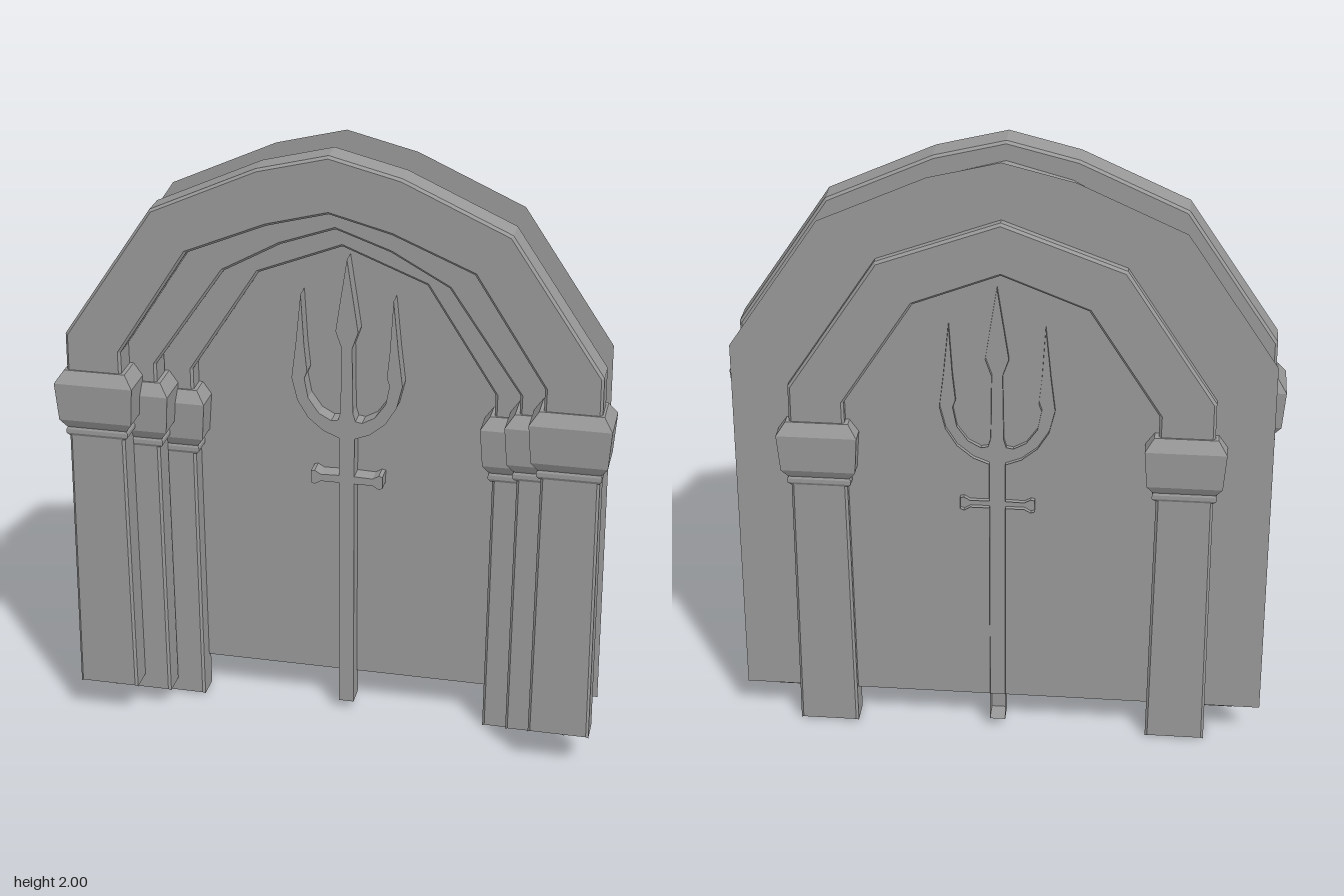
import * as THREE from 'three';

const stone = new THREE.MeshStandardMaterial({ color: 0x999999, side: THREE.DoubleSide });
stone.name = 'grey stone';

// Right half of each arch, from the column foot up to the crown
const ARCHES = [
  { name: 'frontArch', x: 0.745, z: 0.1, foot: 0.12,
    outer: [[0.845, 0.12], [0.835, 1.37], [0.55, 1.795], [0.22, 1.945], [0, 2]],
    inner: [[0.65, 0.12], [0.66, 1.32], [0.44, 1.665], [0.19, 1.77], [0, 1.82]] },
  { name: 'middleArch', x: 0.66, z: 0.005, foot: 0.06,
    outer: [[0.757, 0.06], [0.747, 1.31], [0.47, 1.735], [0.2, 1.885], [0, 1.94]],
    inner: [[0.565, 0.06], [0.575, 1.25], [0.35, 1.58], [0.17, 1.68], [0, 1.74]] },
  { name: 'backArch', x: 0.57, z: -0.095, foot: 0,
    outer: [[0.667, 0], [0.657, 1.25], [0.377, 1.68], [0, 1.82]],
    inner: [[0.475, 0], [0.485, 1.2], [0.265, 1.545], [0, 1.65]] },
];

// Capital rings: height above the foot, half width, half depth
const CAPITAL = [
  [0.905, 0.092, 0.05], [0.915, 0.1, 0.056], [0.928, 0.1, 0.056], [0.935, 0.096, 0.053],
  [0.943, 0.102, 0.058], [0.965, 0.117, 0.07], [1.09, 0.126, 0.077], [1.13, 0.098, 0.055],
];

function mirrored(half) {
  const other = half.slice(0, -1).reverse().map(([x, y]) => [-x, y]);
  return [...half, ...other];
}

function shapeOf(points) {
  return new THREE.Shape(points.map(([x, y]) => new THREE.Vector2(x, y)));
}

// Removes every triangle whose three corners pass the test
function dropFaces(geometry, test) {
  const p = geometry.getAttribute('position');
  const kept = [];
  for (let i = 0; i < p.count; i += 3) {
    const corners = [0, 1, 2].map(k => new THREE.Vector3().fromBufferAttribute(p, i + k));
    if (!corners.every(test)) corners.forEach(c => kept.push(c));
  }
  const result = new THREE.BufferGeometry().setFromPoints(kept);
  result.computeVertexNormals();
  return result;
}

// Stacked rectangles joined by flat faces, closed at the top and bottom
function loftRectangles(levels) {
  const rings = levels.map(([y, w, d]) => [[-w, d], [w, d], [w, -d], [-w, -d]]
    .map(([x, z]) => new THREE.Vector3(x, y, z)));
  const points = [];
  const quad = (a, b, c, d) => points.push(a, b, c, a, c, d);
  for (let i = 0; i < rings.length - 1; i++) {
    for (let k = 0; k < 4; k++) {
      const n = (k + 1) % 4;
      quad(rings[i][k], rings[i][n], rings[i + 1][n], rings[i + 1][k]);
    }
  }
  quad(...rings[rings.length - 1]);
  quad(...[...rings[0]].reverse());
  const geometry = new THREE.BufferGeometry().setFromPoints(points);
  geometry.computeVertexNormals();
  return geometry;
}

function addMesh(parent, name, geometry, x = 0, y = 0, z = 0) {
  const mesh = new THREE.Mesh(geometry, stone);
  mesh.name = name;
  mesh.position.set(x, y, z);
  parent.add(mesh);
  return mesh;
}

// One bevelled arch with its two columns and capitals, open underneath
function makeArch({ name, x, z, foot, outer, inner }) {
  const group = new THREE.Group();
  group.name = name;
  const bevel = 0.008;
  const outline = [...mirrored(outer), ...mirrored(inner).reverse()];
  const body = new THREE.ExtrudeGeometry(shapeOf(outline), {
    depth: 0.1 - 2 * bevel, bevelEnabled: true, bevelSegments: 1,
    bevelSize: bevel, bevelThickness: bevel, bevelOffset: -bevel,
  });
  body.translate(0, 0, -0.05 + bevel);
  addMesh(group, 'archAndColumns', dropFaces(body, v => v.y < foot + bevel + 0.002), 0, 0, z);

  const capital = loftRectangles(CAPITAL);
  addMesh(group, 'leftCapital', capital, x, foot, z);
  addMesh(group, 'rightCapital', capital, -x, foot, z);
  return group;
}

// Trident relief: half outline from the shaft foot to the centre tip
function makeTrident() {
  const half = [
    [0.025, 0.03], [0.025, 0.842], [0.085, 0.842], [0.105, 0.83], [0.117, 0.835],
    [0.117, 0.875], [0.105, 0.878], [0.085, 0.866], [0.025, 0.868], [0.025, 1.0],
    [0.075, 1.02], [0.125, 1.062], [0.16, 1.12], [0.178, 1.195], [0.164, 1.31],
    [0.147, 1.48], [0.137, 1.31], [0.128, 1.22], [0.137, 1.195], [0.125, 1.13],
    [0.09, 1.08], [0.05, 1.058], [0.028, 1.062], [0.02, 1.09], [0.017, 1.31],
    [0.036, 1.365], [0.022, 1.46], [0, 1.605],
  ];
  const geometry = new THREE.ExtrudeGeometry(shapeOf(mirrored(half)), {
    depth: 0.07, bevelEnabled: false,
  });
  return dropFaces(geometry, v => v.z < 0.001);
}

export function createModel() {
  const model = new THREE.Group();
  model.name = 'archedDoorway';
  ARCHES.forEach(arch => model.add(makeArch(arch)));

  // Flat door panel filling the arches
  addMesh(model, 'doorPanel', new THREE.ShapeGeometry(shapeOf(mirrored(ARCHES[0].outer))), 0, 0, -0.115);
  addMesh(model, 'trident', makeTrident(), 0.012, 0, -0.13);
  return model;
}
